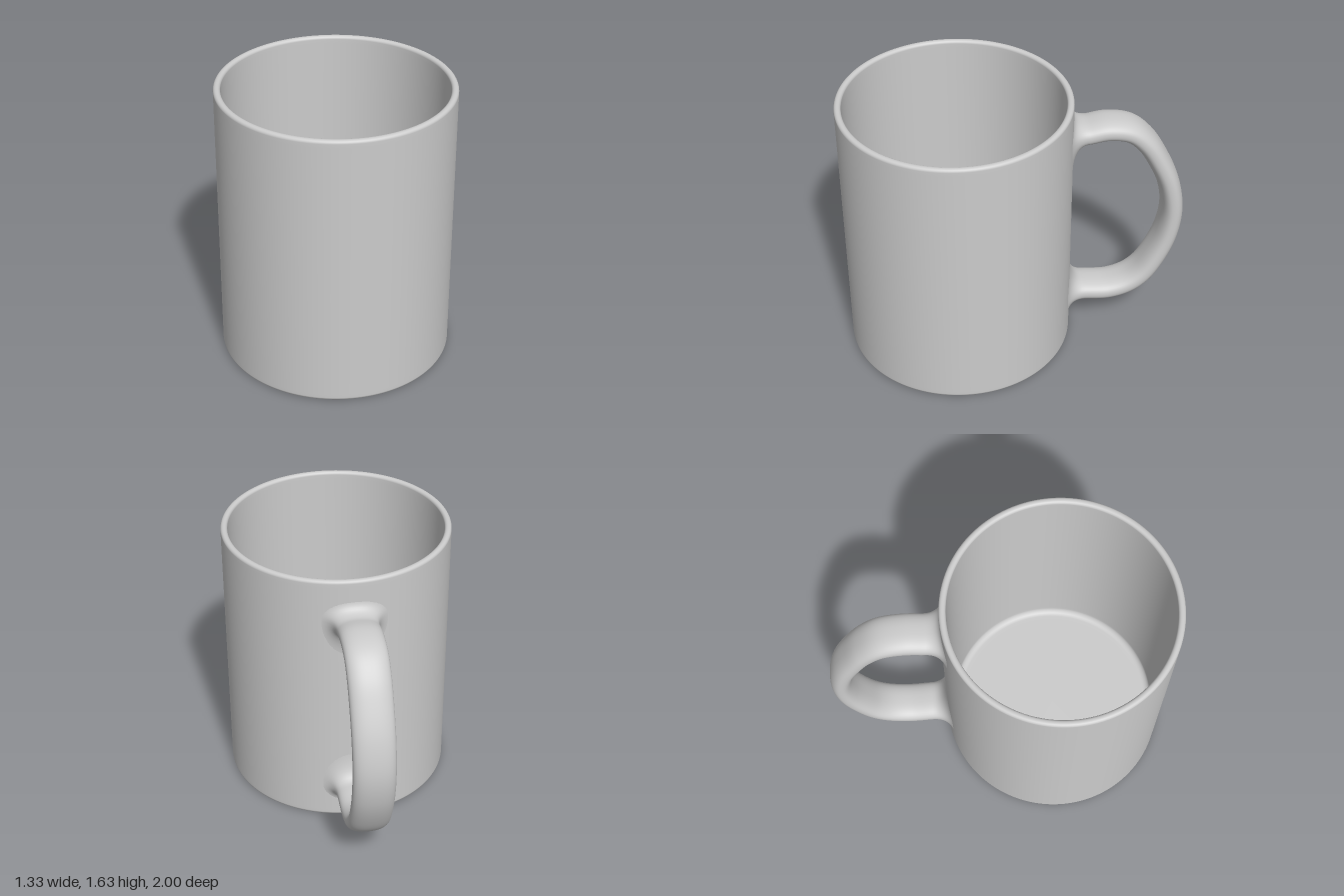
import * as THREE from 'three';

const R = 0.665, H = 1.635, CZ = 0.335; // cup radius, height, axis position in z
const V2 = (x, y) => new THREE.Vector2(x, y);
const V3 = (x, y, z) => new THREE.Vector3(x, y, z);

// Quarter-round of radius r about (cx, cy), swept from angle a0 to a1 in degrees
function arc(cx, cy, r, a0, a1, n = 6) {
  return Array.from({ length: n + 1 }, (_, i) => {
    const a = THREE.MathUtils.degToRad(a0 + (a1 - a0) * i / n);
    return V2(cx + r * Math.cos(a), cy + r * Math.sin(a));
  });
}

// Cup: one closed profile, from the recessed underside round the wall to the inner floor
function cupGeometry() {
  const rim = 0.018, floor = 0.07, inner = 0.625;
  const profile = [
    V2(0, 0.025), V2(0.59, 0.025), V2(0.605, 0.023),
    ...arc(0.632, 0.016, 0.016, 180, 270),
    ...arc(R - 0.02, 0.02, 0.02, -90, 0),
    V2(R, 0.04), V2(R, H - 0.04),
    ...arc(R - rim, H - rim, rim, 0, 90),
    ...arc(inner + rim, H - rim, rim, 90, 180),
    V2(inner, H - 0.04), V2(inner, floor + 0.06),
    ...arc(inner - 0.04, floor + 0.04, 0.04, 0, -90),
    V2(0.56, floor), V2(0, floor),
  ];
  return new THREE.LatheGeometry(profile, 128);
}

// z of the cup's back surface at a given x
const wallZ = x => CZ - Math.sqrt(R * R - x * x);

// Handle: rounded strap swept along a curve, with fillets spreading onto the wall
function handleGeometry() {
  const path = new THREE.CatmullRomCurve3([
    [1.382, -0.42], [1.398, -0.53], [1.372, -0.66], [1.29, -0.753], [1.165, -0.83],
    [0.99, -0.905], [0.80, -0.937], [0.62, -0.915], [0.455, -0.852], [0.33, -0.775],
    [0.262, -0.69], [0.226, -0.57], [0.233, -0.42],
  ].map(([y, z]) => V3(0, y, z)));
  const sides = 40, steps = 90, filletSteps = 10;
  const halfW = 0.12, halfT = 0.0635, power = 0.85;
  const soft = v => Math.sign(v) * Math.abs(v) ** power;
  const angles = Array.from({ length: sides }, (_, j) => 2 * Math.PI * j / sides);

  const tubeRing = t => {
    const c = path.getPointAt(t), T = path.getTangentAt(t);
    return angles.map(a => {
      const n = halfT * soft(Math.sin(a)); // positive towards the inside of the loop
      return V3(halfW * soft(Math.cos(a)), c.y + n * T.z, c.z - n * T.y);
    });
  };

  // Fillet rings from the wall out to the given end ring; inward is the y sign of the loop's inside
  const filletRings = (end, inward) => {
    const curves = end.map((p, j) => {
      const s = Math.sin(angles[j]), c = Math.cos(angles[j]);
      const x = p.x + 0.1 * c;
      const y = p.y + inward * s * (s > 0 ? 0.22 : 0.08);
      return new THREE.QuadraticBezierCurve3(
        V3(x, y, wallZ(x) + 0.003), V3(p.x, p.y, wallZ(p.x)), p);
    });
    return Array.from({ length: filletSteps }, (_, i) => curves.map(k => k.getPoint(i / filletSteps)));
  };

  const tube = Array.from({ length: steps + 1 }, (_, i) => tubeRing(i / steps));
  const rings = [
    ...filletRings(tube[0], -1),
    ...tube,
    ...filletRings(tube[steps], 1).reverse(),
  ];

  // Skin the rings
  const index = [];
  for (let i = 0; i < rings.length - 1; i++) {
    for (let j = 0; j < sides; j++) {
      const k = (j + 1) % sides;
      const a = i * sides + j, b = i * sides + k;
      index.push(a, b, a + sides, b, b + sides, a + sides);
    }
  }
  const g = new THREE.BufferGeometry().setFromPoints(rings.flat());
  g.setIndex(index);
  g.computeVertexNormals();
  return g;
}

export function createModel() {
  const group = new THREE.Group();
  group.name = 'mug';
  const material = new THREE.MeshStandardMaterial({ color: 0xcccccc });

  const cup = new THREE.Mesh(cupGeometry(), material);
  cup.name = 'cup';
  cup.position.z = CZ;

  const handle = new THREE.Mesh(handleGeometry(), material);
  handle.name = 'handle';

  group.add(cup, handle);
  return group;
}
